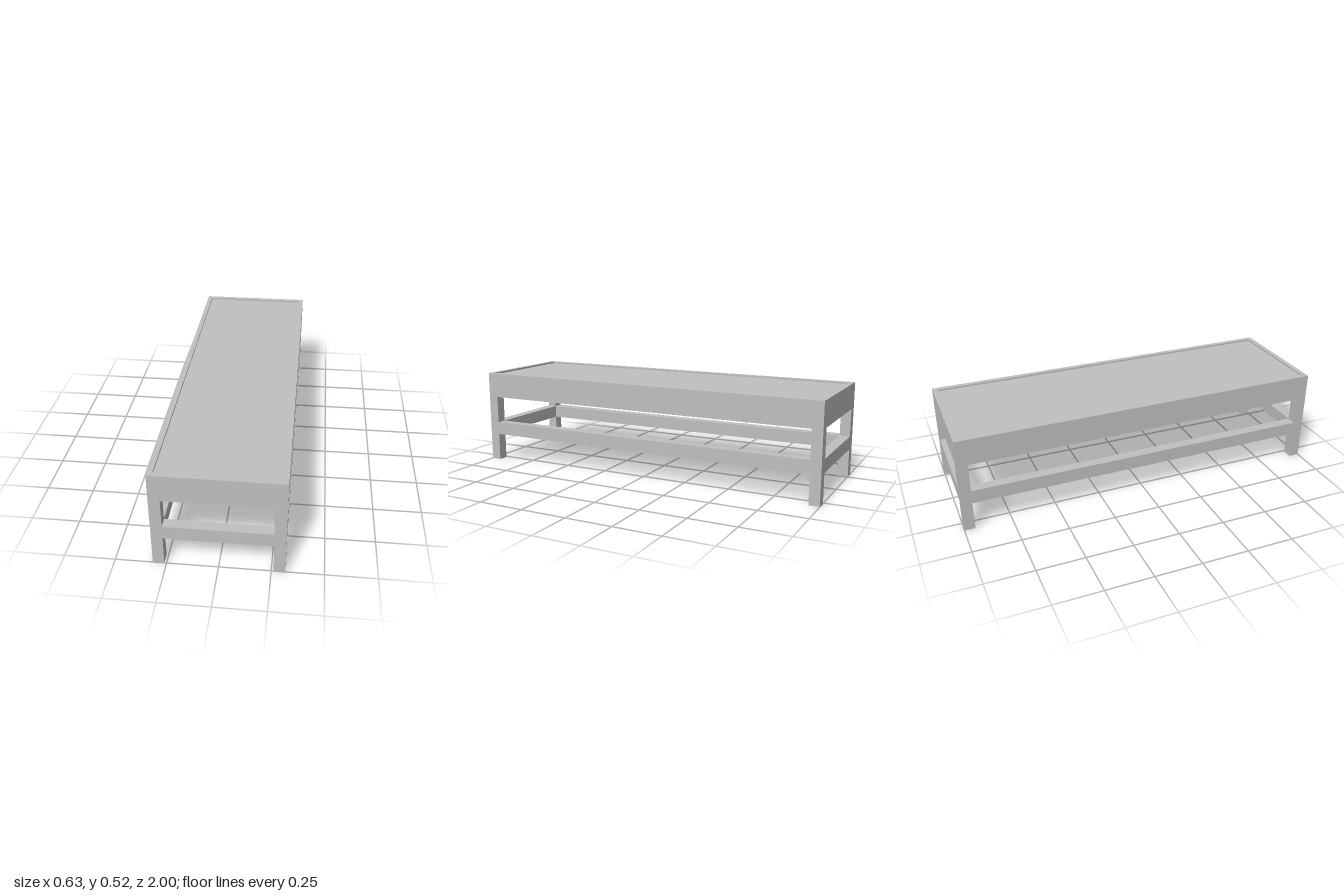
import * as THREE from 'three';

const W = 0.633, D = 2, H = 0.517; // overall size
const LEG = 0.056;                 // square leg section
const APRON_Y = 0.378;             // underside of the apron
const RIM = 0.026;                 // lip around the top panel

export function createModel() {
  const model = new THREE.Group();
  model.name = 'bench';
  const grey = new THREE.MeshStandardMaterial({ color: 0xc0c0c0 });
  grey.name = 'plain grey';

  const add = (name, geometry, x = 0, y = 0, z = 0) => {
    const mesh = new THREE.Mesh(geometry, grey);
    mesh.name = name;
    mesh.position.set(x, y, z);
    model.add(mesh);
  };
  const box = (name, w, y0, y1, d, x = 0, z = 0) =>
    add(name, new THREE.BoxGeometry(w, y1 - y0, d), x, (y0 + y1) / 2, z);

  const rect = (Type, w, d) => new Type([
    new THREE.Vector2(-w / 2, -d / 2), new THREE.Vector2(w / 2, -d / 2),
    new THREE.Vector2(w / 2, d / 2), new THREE.Vector2(-w / 2, d / 2),
  ]);
  // Rectangular ring of a given border, standing from y0 to y1
  const frame = (name, w, d, border, y0, y1) => {
    const shape = rect(THREE.Shape, w, d);
    shape.holes.push(rect(THREE.Path, w - 2 * border, d - 2 * border));
    const geometry = new THREE.ExtrudeGeometry(shape, { depth: y1 - y0, bevelEnabled: false });
    add(name, geometry.rotateX(-Math.PI / 2), 0, y0, 0);
  };

  // Top: outer apron, ledge under the panel, slightly sunken panel
  frame('apron', W, D, RIM, APRON_Y, H);
  frame('ledge', W - 2 * RIM, D - 2 * RIM, LEG - RIM, APRON_Y, 0.418);
  box('topPanel', W - 2 * RIM, 0.418, H - 0.01, D - 2 * RIM);

  // Legs and the low stretchers between them
  const lx = (W - LEG) / 2, lz = (D - LEG) / 2;
  for (const s of [-1, 1]) {
    for (const t of [-1, 1]) box('leg', LEG, 0, APRON_Y, LEG, s * lx, t * lz);
    box('sideStretcher', LEG, 0.154, 0.226, D - 2 * LEG, s * lx, 0);
    box('endStretcher', W - 2 * LEG, 0.154, 0.226, LEG, 0, s * lz);
  }
  return model;
}
